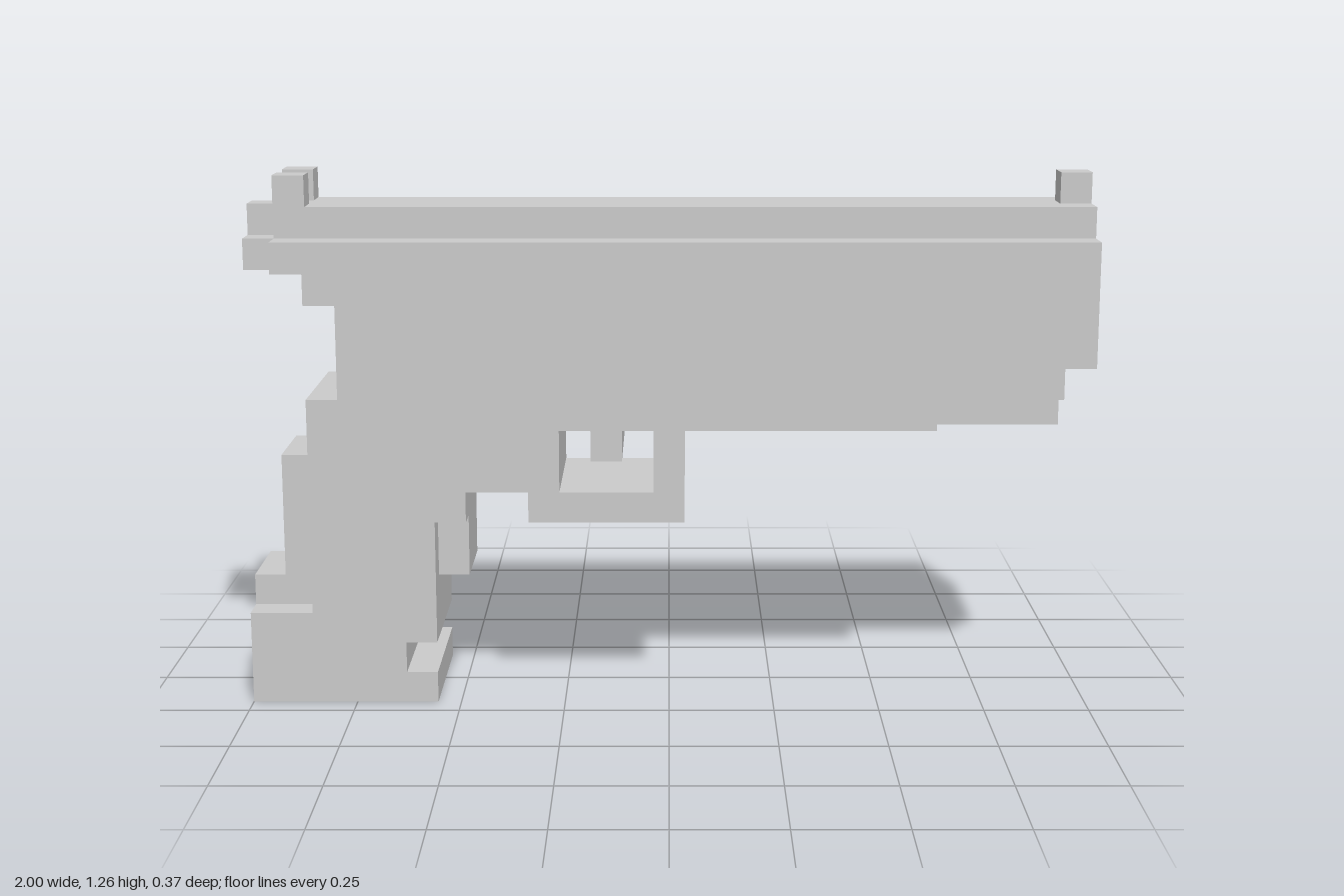
import * as THREE from 'three';

// Everything sits on a grid of small cubes, 27 long, 17 high and 5 deep.
const U = 2 / 27;

export function createModel() {
  const model = new THREE.Group();
  model.name = 'blockPistol';
  const material = new THREE.MeshStandardMaterial({ color: 0xcccccc, flatShading: true });

  const points = (list) => list.map(([x, y]) => new THREE.Vector2(x * U - 1, y * U));

  function add(name, geometry) {
    const mesh = new THREE.Mesh(geometry, material);
    mesh.name = name;
    model.add(mesh);
    return mesh;
  }

  // Box between two grid corners in x and y, with a depth and a z centre in cubes
  function block(name, x0, y0, x1, y1, depth, z = 0) {
    const mesh = add(name, new THREE.BoxGeometry((x1 - x0) * U, (y1 - y0) * U, depth * U));
    mesh.position.set(((x0 + x1) / 2) * U - 1, ((y0 + y1) / 2) * U, z * U);
  }

  // Full-depth body: grip, frame, trigger guard and slide in one stepped outline
  const outline = new THREE.Shape(points([
    [0, 0], [6, 0], [6, 1], [5, 1], [5, 2], [6, 2], [6, 6], [7, 6], [7, 7], // grip front
    [9, 7], [9, 6], [14, 6], [14, 9],                                       // trigger guard
    [22, 9], [22, 10], [26, 10], [26, 11], [27, 11], [27, 15],              // muzzle end
    [1, 15], [1, 14], [2, 14], [2, 13], [3, 13], [3, 10], [2, 10],          // rear of slide
    [2, 3], [0, 3],                                                         // grip back
  ]));
  // Guard opening with the trigger hanging into it
  outline.holes.push(new THREE.Path(points([
    [10, 7], [10, 9], [11, 9], [11, 8], [12, 8], [12, 9], [13, 9], [13, 7],
  ])));
  const body = new THREE.ExtrudeGeometry(outline, { depth: 5 * U, bevelEnabled: false });
  body.translate(0, 0, -2.5 * U);
  add('body', body);

  // Narrower parts along the centre
  block('slideTop', 1, 15, 27, 16, 3);
  block('underRail', 22, 9, 26, 10, 3);
  block('gripFrontRidge', 6, 4, 7, 6, 3);
  block('gripBackstrap', 1, 4, 2, 8, 3);
  block('gripHeel', 0, 3, 2, 4, 3);
  block('rearTang', 0, 14, 1, 15, 3);
  block('hammer', 0, 15, 1, 16, 1);

  // Sights
  block('frontSight', 26, 16, 27, 17, 1);
  for (const side of [-1, 1]) block('rearSight', 1, 16, 2, 17, 1, side);

  return model;
}
